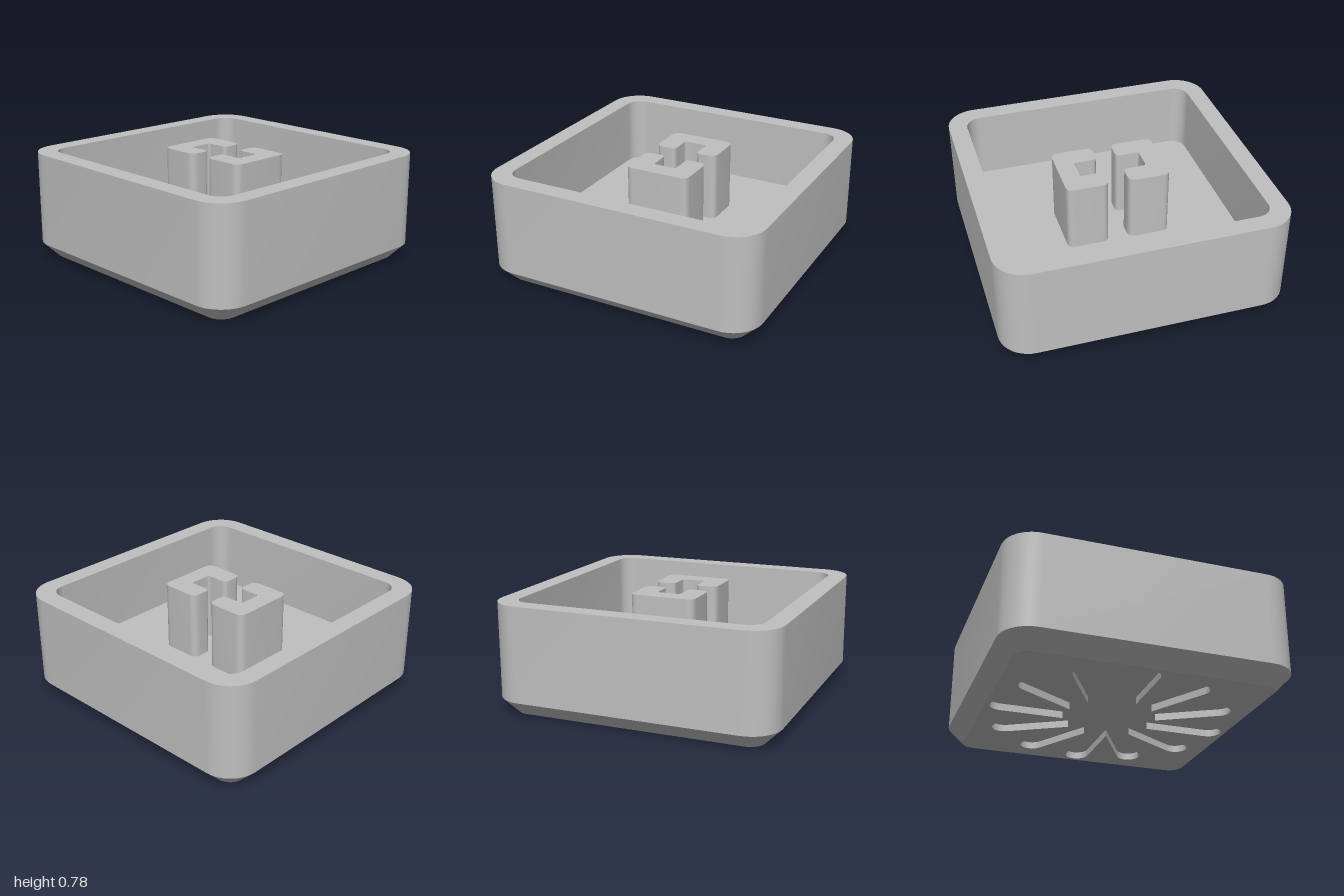
import * as THREE from 'three';
import { toCreasedNormals } from 'three/addons/utils/BufferGeometryUtils.js';

const HEIGHT = 0.778, FLOOR = 0.29, RECESS = 0.05;

// Rounded square outline, counter-clockwise, with a fixed number of points
function roundedSquare(half, radius, steps = 10) {
  const pts = [], c = half - radius;
  for (let q = 0; q < 4; q++) {
    const mid = (q + 0.5) * Math.PI / 2;
    const cx = Math.sign(Math.cos(mid)) * c, cy = Math.sign(Math.sin(mid)) * c;
    for (let i = 0; i <= steps; i++) {
      const a = (q + i / steps) * Math.PI / 2;
      pts.push(new THREE.Vector2(cx + radius * Math.cos(a), cy + radius * Math.sin(a)));
    }
  }
  return pts;
}

// Radial slots merged at the centre, with round ends
function starOutline(count, reach, width) {
  const pts = [], step = Math.PI * 2 / count, w = width / 2;
  const inner = w / Math.sin(step / 2);
  for (let k = 0; k < count; k++) {
    const t = k * step, end = reach - w;
    pts.push(new THREE.Vector2(inner * Math.cos(t - step / 2), inner * Math.sin(t - step / 2)));
    for (let i = 0; i <= 8; i++) {
      const a = t - Math.PI / 2 + i / 8 * Math.PI;
      pts.push(new THREE.Vector2(end * Math.cos(t) + w * Math.cos(a), end * Math.sin(t) + w * Math.sin(a)));
    }
  }
  return pts;
}

// Skin through successive closed outlines at given heights
function loft(rings) {
  const pos = [];
  const put = (r, j) => {
    const p = r.pts[j % r.pts.length];
    pos.push(p.x, r.y, -p.y);
  };
  for (let i = 0; i < rings.length - 1; i++) {
    const a = rings[i], b = rings[i + 1];
    for (let j = 0; j < a.pts.length; j++) {
      put(a, j); put(a, j + 1); put(b, j + 1);
      put(a, j); put(b, j + 1); put(b, j);
    }
  }
  const g = new THREE.BufferGeometry();
  g.setAttribute('position', new THREE.Float32BufferAttribute(pos, 3));
  return toCreasedNormals(g, 0.5);
}

// Flat horizontal face, facing up or down
function flat(pts, y, up, hole) {
  const shape = new THREE.Shape(pts);
  if (hole) shape.holes.push(new THREE.Path(hole));
  return new THREE.ShapeGeometry(shape).rotateX(up ? -Math.PI / 2 : Math.PI / 2).translate(0, y, 0);
}

// Polygon with rounded corners
function roundedPolygon(corners, radius) {
  const shape = new THREE.Shape(), n = corners.length;
  const v = corners.map(([x, y]) => new THREE.Vector2(x, y));
  v.forEach((p, i) => {
    const toward = q => p.clone().add(q.clone().sub(p).setLength(radius(p)));
    const a = toward(v[(i + n - 1) % n]), b = toward(v[(i + 1) % n]);
    if (i) shape.lineTo(a.x, a.y); else shape.moveTo(a.x, a.y);
    shape.quadraticCurveTo(p.x, p.y, b.x, b.y);
  });
  shape.closePath();
  return shape;
}

export function createModel() {
  const group = new THREE.Group();
  const grey = new THREE.MeshStandardMaterial({ color: 0xc0c0c0 });
  grey.name = 'light grey';
  const add = (name, geometry) => {
    const mesh = new THREE.Mesh(geometry, grey);
    mesh.name = name;
    group.add(mesh);
    return mesh;
  };

  // Tray: chamfer, outer wall, rim and inner wall
  const base = roundedSquare(0.889, 0.105), outer = roundedSquare(1, 0.215), inner = roundedSquare(0.868, 0.11);
  add('trayWalls', loft([
    { pts: base, y: 0 }, { pts: outer, y: 0.111 }, { pts: outer, y: HEIGHT },
    { pts: inner, y: HEIGHT }, { pts: inner, y: FLOOR },
  ]));
  add('trayFloor', flat(inner, FLOOR, true));

  // Underside with a shallow recess of twelve radial slots
  const star = starOutline(12, 0.86, 0.17);
  add('underside', flat(base, 0, false, star));
  add('slotWalls', loft([{ pts: star, y: RECESS }, { pts: star, y: 0 }]));
  add('slotCeiling', flat(star, RECESS, false));

  // Two C-shaped posts facing each other
  const post = roundedPolygon([
    [0.071, -0.235], [0.371, -0.235], [0.371, 0.235], [0.071, 0.235],
    [0.071, 0.084], [0.238, 0.084], [0.238, -0.084], [0.071, -0.084],
  ], p => (Math.abs(p.y) > 0.2 ? 0.055 : p.x > 0.2 ? 0.02 : 0.035));
  const postGeometry = toCreasedNormals(
    new THREE.ExtrudeGeometry(post, { depth: HEIGHT - FLOOR, bevelEnabled: false, curveSegments: 8 })
      .rotateX(-Math.PI / 2), 0.6);
  for (const [name, turn] of [['leftPost', 0], ['rightPost', Math.PI]]) {
    const mesh = add(name, postGeometry);
    mesh.rotation.y = turn;
    mesh.position.set(-0.003, FLOOR, -0.004);
  }
  return group;
}
